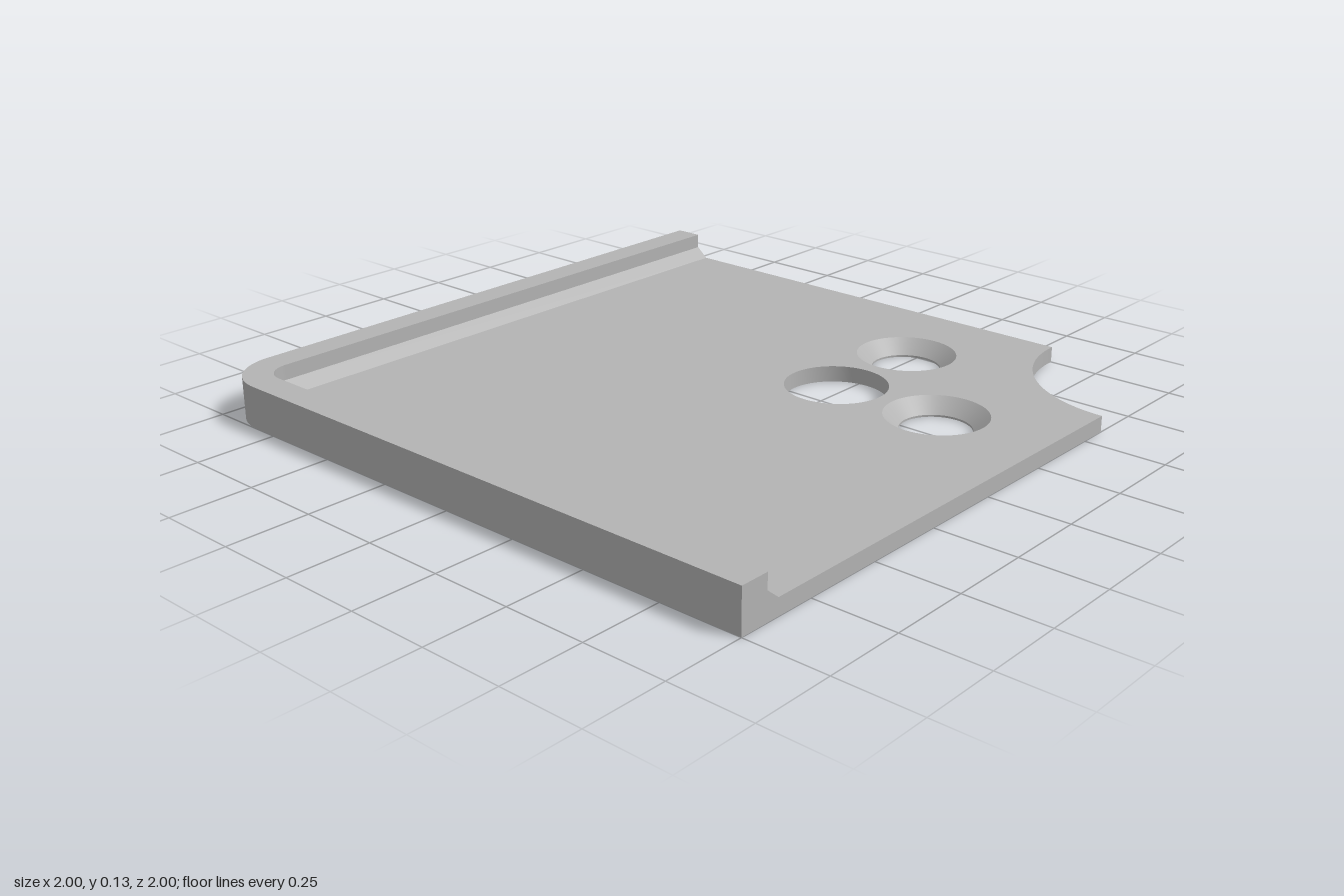
import * as THREE from 'three';
import { toCreasedNormals } from 'three/addons/utils/BufferGeometryUtils.js';

const FLOOR = 0.05, HEIGHT = 0.13;   // floor thickness, rim height
const CORNER = 0.17, RIM = 0.09, INSET = 0.13; // outer corner radius, rim width, chamfer foot

// Floor outline, with the quarter-round notch in one corner and three round holes
function floorGeometry(holes) {
  const c = -1 + CORNER, e = -1 + INSET;
  const s = new THREE.Shape();
  s.moveTo(1, e);
  s.lineTo(1, 0.59);
  s.absarc(1, 1, 0.41, -Math.PI / 2, -Math.PI, true);
  s.lineTo(e, 1);
  s.lineTo(e, c);
  s.absarc(c, c, CORNER - INSET, Math.PI, Math.PI * 1.5, false);
  for (const [x, z, r] of holes) {
    s.holes.push(new THREE.Path().absarc(x, -z, r, 0, Math.PI * 2, true));
  }
  const g = new THREE.ExtrudeGeometry(s, { depth: FLOOR, bevelEnabled: false, curveSegments: 32 });
  return g.rotateX(-Math.PI / 2);
}

// Rim: a stepped section swept along one side, round the corner and along the front
function rimGeometry() {
  const section = [[0, 0], [0, HEIGHT], [RIM, HEIGHT], [RIM, 0.083], [INSET, FLOOR], [INSET, 0]];
  const n = section.length, steps = 20, c = 1 - CORNER;
  const rings = [section.map(([d, y]) => [-1 + d, y, -1])];
  for (let i = 0; i <= steps; i++) {
    const t = (i / steps) * Math.PI / 2;
    rings.push(section.map(([d, y]) => [
      -c - (CORNER - d) * Math.cos(t), y, c + (CORNER - d) * Math.sin(t)]));
  }
  rings.push(section.map(([d, y]) => [1, y, 1 - d]));

  const index = [], last = (rings.length - 1) * n;
  for (let i = 0; i < rings.length - 1; i++) {
    for (let j = 0; j < n; j++) {
      const a = i * n + j, b = i * n + (j + 1) % n;
      index.push(a, a + n, b, b, a + n, b + n);
    }
  }
  for (let j = 1; j < n - 1; j++) { // end caps
    index.push(0, j, j + 1, last, last + j + 1, last + j);
  }
  const g = new THREE.BufferGeometry();
  g.setAttribute('position', new THREE.Float32BufferAttribute(rings.flat(2), 3));
  g.setIndex(index);
  return g;
}

// Countersink: a cone narrowing to a thin lip at the underside
function countersinkGeometry(top, bottom) {
  const profile = [[top, 0], [bottom, 0], [bottom, 0.006], [top, FLOOR]]
    .map(([r, y]) => new THREE.Vector2(r, y));
  return new THREE.LatheGeometry(profile, 64);
}

export function createModel() {
  const group = new THREE.Group();
  group.name = 'cornerPlate';
  const grey = new THREE.MeshStandardMaterial({ color: 0xb3b3b3, side: THREE.DoubleSide });
  grey.name = 'grey';

  const add = (name, geometry, x = 0, z = 0) => {
    const mesh = new THREE.Mesh(toCreasedNormals(geometry, 0.5), grey);
    mesh.name = name;
    mesh.position.set(x, 0, z);
    group.add(mesh);
  };

  const sinks = [[0.28, -0.645, 0.155], [0.64, -0.285, 0.155]];
  add('floor', floorGeometry([...sinks, [0.28, -0.285, 0.157]]));
  add('rim', rimGeometry());
  sinks.forEach(([x, z, r], i) => add('countersink' + (i + 1), countersinkGeometry(r, 0.107), x, z));
  return group;
}
